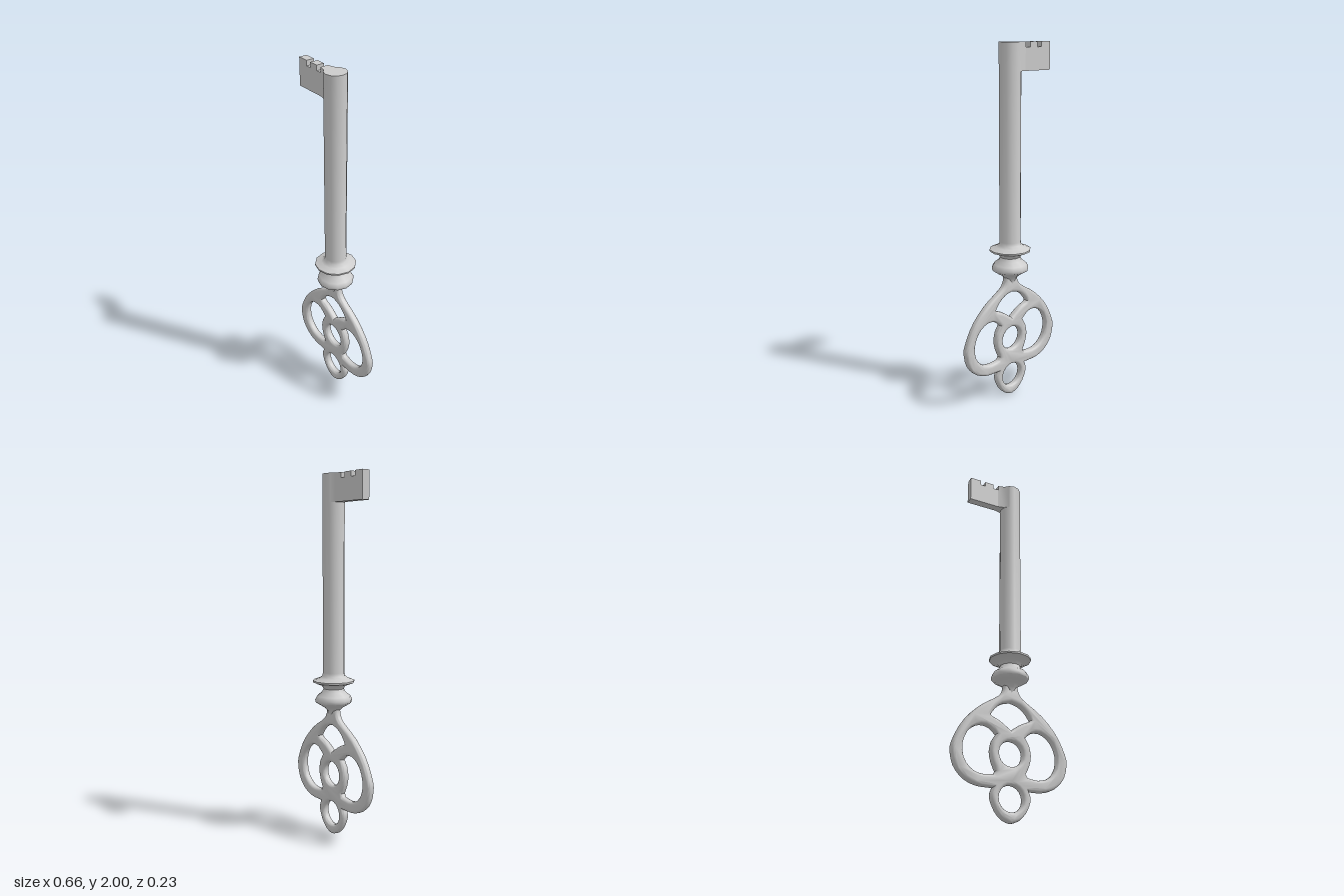
import * as THREE from 'three';
import { toCreasedNormals } from 'three/addons/utils/BufferGeometryUtils.js';

const material = new THREE.MeshStandardMaterial({ color: 0xcccccc });

const vectors = (pairs) => pairs.map(([x, y]) => new THREE.Vector2(x, y));
const spline = (pairs, n) => new THREE.SplineCurve(vectors(pairs)).getPoints(n);
const mirrorX = (points) => points.map((p) => new THREE.Vector2(-p.x, p.y)).reverse();

// Right half runs from the centre line at the top to the centre line at the bottom
const symmetric = (half) => [...half, ...mirrorX(half).slice(1, -1)];

// Circular opening, wound clockwise like the other openings
function ring(cy, radius, n = 20) {
  return new THREE.EllipseCurve(0, cy, radius, radius, 0, Math.PI * 2, true).getPoints(n).slice(0, -1);
}

function part(name, geometry, crease = 0.9) {
  const mesh = new THREE.Mesh(toCreasedNormals(geometry, crease), material);
  mesh.name = name;
  return mesh;
}

// Openwork handle: a rounded heart with four openings and a small loop below
function createBow() {
  const outline = symmetric([
    new THREE.Vector2(0, 0.73),
    ...spline([[0.04, 0.73], [0.046, 0.695], [0.075, 0.657], [0.18, 0.588], [0.27, 0.493],
      [0.322, 0.39], [0.331, 0.335], [0.311, 0.258], [0.257, 0.2], [0.185, 0.172], [0.1, 0.17]], 26),
    ...spline([[0.109, 0.15], [0.112, 0.118], [0.086, 0.058], [0.044, 0.015], [0, 0]], 8),
  ]);

  const topHole = symmetric([
    ...spline([[0, 0.633], [0.05, 0.619], [0.09, 0.588], [0.117, 0.55]], 6),
    ...spline([[0.108, 0.541], [0.06, 0.52], [0, 0.478]], 5),
  ]);

  const sideHole = [
    ...spline([[0.083, 0.448], [0.127, 0.483], [0.185, 0.485], [0.24, 0.447], [0.27, 0.375],
      [0.26, 0.3], [0.217, 0.25], [0.16, 0.232], [0.095, 0.238]], 18),
    ...spline([[0.085, 0.255], [0.106, 0.3], [0.117, 0.357], [0.106, 0.41]], 6),
  ];

  // Outline counter-clockwise, openings clockwise, so that every bevel faces outward
  const shape = new THREE.Shape(outline.reverse());
  shape.holes = [topHole, sideHole, mirrorX(sideHole), ring(0.353, 0.068), ring(0.123, 0.068)]
    .map((points) => new THREE.Path(points));

  const geometry = new THREE.ExtrudeGeometry(shape, {
    depth: 0.012, bevelThickness: 0.017, bevelSize: 0.018, bevelOffset: -0.018, bevelSegments: 4,
  });
  geometry.translate(0, 0, -0.006);
  return part('bow', geometry);
}

// Turned stem: neck, rounded bead, sharp collar and straight shaft
function createStem() {
  const profile = vectors([
    [0, 0.655], [0.018, 0.66], [0.025, 0.695], [0.034, 0.715], [0.051, 0.733], [0.076, 0.748],
    [0.101, 0.764], [0.104, 0.78], [0.092, 0.8], [0.066, 0.82], [0.057, 0.84], [0.068, 0.858],
    [0.115, 0.876], [0.116, 0.886], [0.08, 0.899], [0.064, 0.912], [0.06, 0.93], [0.06, 2], [0, 2],
  ]);
  return part('stem', new THREE.LatheGeometry(profile, 12));
}

// Flat toothed plate with two notches in its upper edge
function createBit() {
  const shape = new THREE.Shape(vectors([
    [-0.03, 1.85], [-0.03, 2], [-0.09, 2], [-0.09, 1.972], [-0.122, 1.972], [-0.122, 2],
    [-0.175, 2], [-0.175, 1.972], [-0.205, 1.972], [-0.205, 2], [-0.268, 2], [-0.268, 1.85],
  ]));
  const geometry = new THREE.ExtrudeGeometry(shape, { depth: 0.044, bevelEnabled: false });
  geometry.translate(0, 0, -0.022);
  return part('bit', geometry, 0.5);
}

// Flared web that blends the plate into the shaft
function createBitRoot() {
  const half = [[-0.09, 0.022], [-0.054, 0.031], [-0.03, 0.052]];
  const shape = new THREE.Shape(vectors([...half, ...half.map(([x, z]) => [x, -z]).reverse()]));
  const geometry = new THREE.ExtrudeGeometry(shape, { depth: 0.15, bevelEnabled: false });
  geometry.rotateX(-Math.PI / 2).translate(0, 1.85, 0);
  return part('bitRoot', geometry);
}

export function createModel() {
  const key = new THREE.Group();
  key.name = 'key';
  key.add(createBow(), createStem(), createBit(), createBitRoot());
  return key;
}
